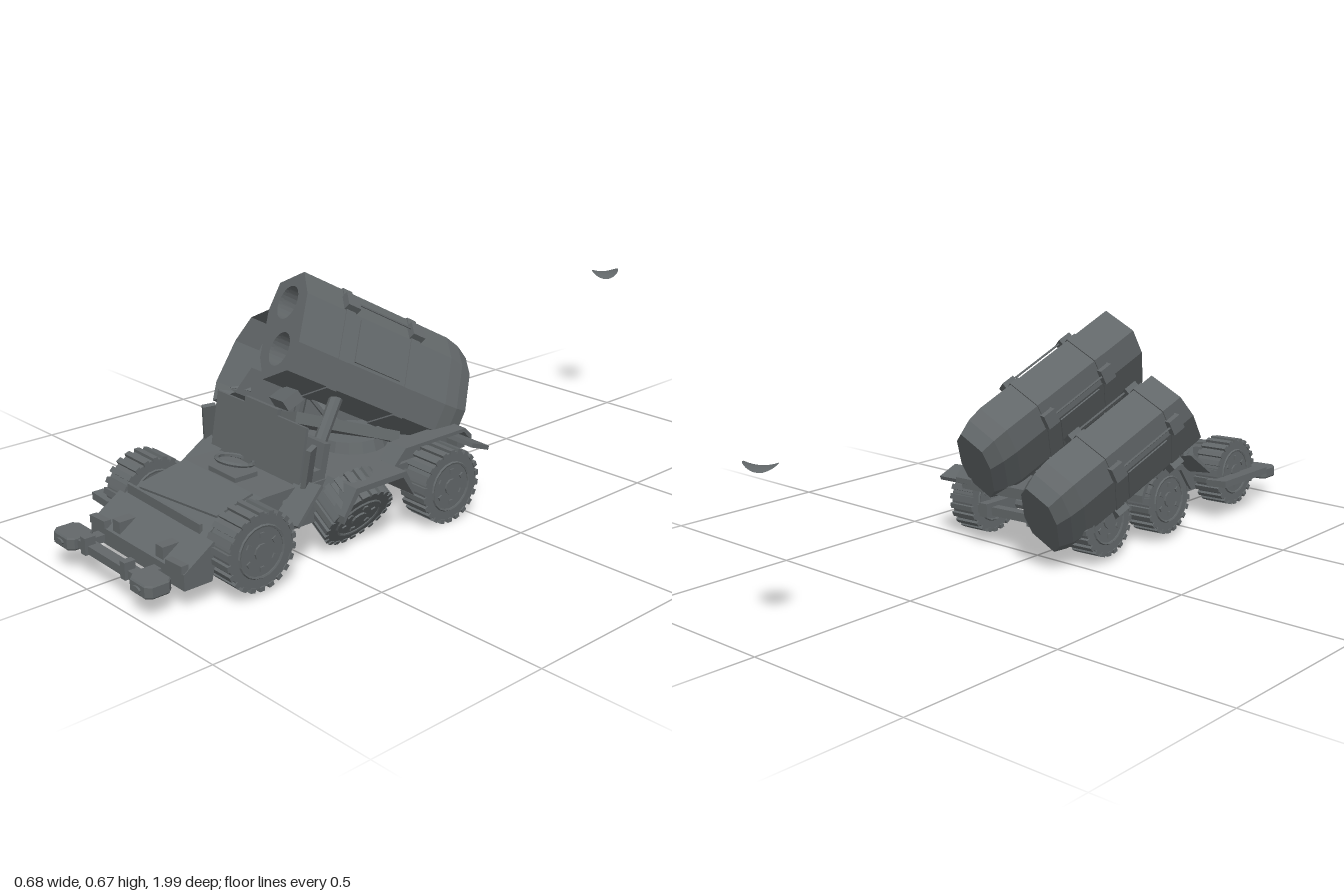
import * as THREE from 'three';

const V = (x, y, z) => new THREE.Vector3(x, y, z);

export function createModel() {
  const root = new THREE.Group();
  const steel = new THREE.MeshStandardMaterial({ color: 0x626769, flatShading: true, side: THREE.DoubleSide });
  steel.name = 'weathered grey';

  const add = (parent, name, geo, pos = [0, 0, 0], rot = [0, 0, 0]) => {
    const m = new THREE.Mesh(geo, steel);
    m.name = name;
    m.position.set(...pos);
    m.rotation.set(...rot);
    parent.add(m);
    return m;
  };
  const box = (p, name, size, pos, rot) => add(p, name, new THREE.BoxGeometry(...size), pos, rot);
  const group = (p, name, pos = [0, 0, 0], rot = [0, 0, 0]) => {
    const g = new THREE.Group();
    g.name = name;
    g.position.set(...pos);
    g.rotation.set(...rot);
    p.add(g);
    return g;
  };
  const rod = (p, name, a, b, r, sides = 8) => {
    const A = V(...a), B = V(...b), dir = B.clone().sub(A);
    const m = add(p, name, new THREE.CylinderGeometry(r, r, dir.length(), sides));
    m.position.copy(A).add(B).multiplyScalar(0.5);
    m.quaternion.setFromUnitVectors(V(0, 1, 0), dir.normalize());
  };
  // side profile of [z, y] points, extruded across x
  const sideProfile = (pts, w) => new THREE.ExtrudeGeometry(
    new THREE.Shape(pts.map(p => new THREE.Vector2(...p))), { depth: w, bevelEnabled: false })
    .rotateY(-Math.PI / 2).translate(w / 2, 0, 0);
  // skin through rings running from front to back
  const loft = (rings, capBack) => {
    const pos = [], n = rings[0].length;
    const tri = (...v) => v.forEach(p => pos.push(p.x, p.y, p.z));
    for (let k = 0; k < rings.length - 1; k++) for (let i = 0; i < n; i++) {
      const j = (i + 1) % n, f = rings[k], b = rings[k + 1];
      tri(f[i], b[i], b[j]);
      tri(f[i], b[j], f[j]);
    }
    const e = rings[rings.length - 1];
    if (capBack) for (let i = 1; i < n - 1; i++) tri(e[0], e[i + 1], e[i]);
    const g = new THREE.BufferGeometry();
    g.setAttribute('position', new THREE.Float32BufferAttribute(pos, 3));
    g.computeVertexNormals();
    return g;
  };

  // ---- chassis, leaning slightly to its left
  const truck = group(root, 'truck', [0.065, 0, 0], [0, 0, -0.035]);
  for (const s of [-1, 1]) box(truck, 'frameRail', [0.03, 0.04, 0.95], [s * 0.09, 0.115, 0.42]);
  for (const z of [-0.02, 0.16, 0.28, 0.46, 0.6]) box(truck, 'crossMember', [0.26, 0.025, 0.03], [0, 0.11, z]);
  for (const z of [0.08, 0.38, 0.72]) rod(truck, 'axle', [-0.19, 0.11, z], [0.19, 0.11, z], 0.016);
  rod(truck, 'driveShaft', [0, 0.1, 0.05], [0, 0.1, 0.72], 0.012);

  // ---- wheels
  const wheel = (name, pos, rot) => {
    const g = group(truck, name, pos, rot), w = 0.08;
    add(g, 'tyre', new THREE.CylinderGeometry(0.096, 0.096, w, 24).rotateZ(Math.PI / 2));
    for (let i = 0; i < 22; i++) {
      const a = i / 22 * Math.PI * 2;
      box(g, 'tread', [w + 0.006, 0.012, 0.015], [0, Math.cos(a) * 0.097, Math.sin(a) * 0.097], [a, 0, 0]);
    }
    for (const s of [-1, 1]) {
      add(g, 'rim', new THREE.TorusGeometry(0.066, 0.004, 5, 20).rotateY(Math.PI / 2), [s * w / 2, 0, 0]);
      add(g, 'hub', new THREE.CylinderGeometry(0.022, 0.022, 0.01, 10).rotateZ(Math.PI / 2), [s * w / 2, 0, 0]);
      for (let i = 0; i < 6; i++) {
        const a = i * Math.PI / 3;
        box(g, 'bolt', [0.008, 0.012, 0.012], [s * w / 2, Math.cos(a) * 0.044, Math.sin(a) * 0.044], [a, 0, 0]);
      }
    }
  };
  for (const s of [-1, 1]) {
    wheel('frontWheel', [s * 0.214, 0.124, 0.72]);
    wheel('rearWheel', [s * 0.216, 0.11, 0.085]);
  }
  wheel('rightMiddleWheel', [-0.215, 0.11, 0.37]);
  wheel('brokenMiddleWheel', [0.185, 0.117, 0.38], [0, 0, -0.57]);

  // ---- bed, fenders and tail
  box(truck, 'bed', [0.28, 0.025, 0.5], [0, 0.175, 0.22]);
  box(truck, 'tailBeam', [0.36, 0.03, 0.03], [0, 0.18, -0.03]);
  for (const s of [-1, 1]) {
    const rear = sideProfile([[-0.06, 0.185], [-0.03, 0.215], [0.18, 0.215], [0.24, 0.16], [0.24, 0.175],
      [0.19, 0.225], [-0.035, 0.225], [-0.06, 0.2]], 0.06);
    add(truck, 'rearFender', rear, [s * 0.16, 0, 0]);
    box(truck, 'rearFlap', [0.105, 0.012, 0.07], [s * 0.21, 0.198, -0.018], [-0.35, 0, 0]);
    const mid = sideProfile([[0.23, 0.13], [0.27, 0.19], [0.42, 0.19], [0.47, 0.12], [0.47, 0.14],
      [0.43, 0.205], [0.26, 0.205], [0.23, 0.15]], 0.11);
    add(truck, 'middleFender', mid, [s * 0.21, 0, 0]);
    rod(truck, 'sideBar', [s * 0.15, 0.09, 0.6], [s * 0.15, 0.14, 0.18], 0.01);
    box(truck, 'sideBin', [0.05, 0.06, 0.08], [s * 0.14, 0.13, 0.51]);
  }

  // ---- nose and open cab
  add(truck, 'hood', sideProfile([[0.58, 0.07], [0.84, 0.07], [0.84, 0.14], [0.78, 0.178], [0.64, 0.205], [0.52, 0.205], [0.52, 0.19], [0.58, 0.18]], 0.32));
  add(truck, 'apron', sideProfile([[0.82, 0.058], [0.9, 0.058], [0.9, 0.1], [0.8, 0.167], [0.8, 0.15]], 0.39));
  box(truck, 'cabFloor', [0.32, 0.015, 0.14], [0, 0.1, 0.53]);
  box(truck, 'bentPanel', [0.28, 0.006, 0.12], [0.01, 0.2, 0.73], [0.17, 0.1, 0.02]);
  box(truck, 'grilleBar', [0.3, 0.025, 0.008], [-0.01, 0.172, 0.81], [0, 0, -0.02]);
  box(truck, 'hatch', [0.11, 0.015, 0.07], [-0.01, 0.21, 0.6]);
  add(truck, 'steeringWheel', new THREE.TorusGeometry(0.048, 0.006, 5, 18), [-0.04, 0.222, 0.57], [1.35, 0, 0]);
  box(truck, 'windshieldPlate', [0.355, 0.155, 0.008], [-0.012, 0.277, 0.517], [-0.16, 0, 0]);
  box(truck, 'roofTab', [0.13, 0.022, 0.012], [-0.012, 0.358, 0.502], [-0.16, 0, 0]);
  for (const s of [-1, 1]) {
    box(truck, 'doorPost', [0.014, 0.11, 0.035], [s * 0.2 - 0.012, 0.262, 0.52], [0.1, s * 0.4, -0.22]);
    box(truck, 'seat', [0.1, 0.03, 0.08], [s * 0.085, 0.2, 0.46]);
    box(truck, 'seatBack', [0.1, 0.08, 0.02], [s * 0.085, 0.24, 0.42], [-0.2, 0, 0]);
    box(truck, 'mudGuard', [0.085, 0.01, 0.12], [s * 0.195, 0.18, 0.56], [0.7, s * 0.15, 0]);
    box(truck, 'headlamp', [0.065, 0.02, 0.02], [s * 0.16, 0.11, 0.895], [0, 0, 0.06]);
  }
  box(truck, 'runningBoard', [0.07, 0.02, 0.23], [-0.265, 0.11, 0.715], [0, 0, -0.05]);

  // ---- bumper with rounded end blocks
  const bumper = group(truck, 'bumper', [-0.03, 0.073, 0.952]);
  box(bumper, 'bumperBar', [0.25, 0.022, 0.03], [0, 0, 0]);
  for (const s of [-1, 1]) {
    const c = 0.012, x = 0.04, z = 0.034;
    const plan = [[-x + c, -z], [x - c, -z], [x, -z + c], [x, z - c], [x - c, z], [-x + c, z], [-x, z - c], [-x, -z + c]];
    const end = new THREE.ExtrudeGeometry(new THREE.Shape(plan.map(p => new THREE.Vector2(...p))),
      { depth: 0.026, bevelEnabled: true, bevelThickness: 0.004, bevelSize: 0.003, bevelSegments: 1 });
    add(bumper, 'bumperEnd', end.rotateX(Math.PI / 2), [s * 0.165, 0.013, 0]);
    add(bumper, 'lamp', new THREE.CylinderGeometry(0.012, 0.012, 0.008, 12).rotateX(Math.PI / 2).scale(1.3, 0.6, 1), [s * 0.165, 0, 0.038]);
    box(bumper, 'bracket', [0.02, 0.045, 0.03], [s * 0.085, 0.01, 0.008]);
    box(bumper, 'bumperArm', [0.03, 0.02, 0.08], [s * 0.12, 0, -0.05]);
  }

  // ---- launch canisters: local x across, y along the tall section, z to the muzzle
  const W = 0.088, H = 0.138, A = 0.055, B = 0.068;
  const outline = [[-A, H], [-W, B], [-W, -B], [-A, -H], [A, -H], [W, -B], [W, B], [A, H]];
  const ring = (z, s = 1, slant = 0) => outline.map(([x, y]) => V(x * s, y * s, z + slant * y));
  const canister = (name, pos, open) => {
    const g = group(root, name);
    const u = V(-0.364, 0.763, -0.534).normalize(), r = u.clone().cross(V(-0.229, 0.483, 0.847)).normalize();
    g.setRotationFromMatrix(new THREE.Matrix4().makeBasis(r, u, r.clone().cross(u)));
    g.position.set(...pos);
    // one canister has lost its muzzle plate and shows its hollow inside
    const front = open ? ring(-0.05, 1, -0.25) : ring(-0.03);
    add(g, 'shell', loft([front, ring(-0.49), ring(-0.535, 0.94), ring(-0.575, 0.8)], true));
    // bands with clamps and straight cables
    for (const z of [-0.14, -0.36]) {
      add(g, 'band', loft([ring(z + 0.015), ring(z + 0.015, 1.03), ring(z - 0.015, 1.03), ring(z - 0.015)], false));
      for (const s of [-1, 1]) for (const t of [-1, 1]) {
        box(g, 'clamp', [0.025, 0.045, 0.04], [s * 0.084, t * 0.095, z], [0, 0, s * t * 0.45]);
      }
    }
    for (const s of [-1, 1]) {
      box(g, 'sidePanel', [0.008, 0.12, 0.15], [s * W, 0, -0.25]);
      rod(g, 'cable', [s * 0.088, 0.1, -0.14], [s * 0.088, 0.1, -0.36], 0.003, 5);
    }
    if (open) {
      for (let i = 0; i < 4; i++) {
        add(g, 'shred', new THREE.ConeGeometry(0.014, 0.06, 3), [-0.04 + i * 0.03, -0.12, -0.05 + (i % 2) * 0.02], [1.2 + i * 0.2, i, 0.5 - i * 0.3]);
      }
    } else {
      const face = new THREE.Shape(outline.map(p => new THREE.Vector2(...p)));
      for (const s of [-1, 1]) {
        face.holes.push(new THREE.Path().absarc(0, s * 0.066, 0.046, 0, Math.PI * 2, true));
        add(g, 'launchTube', new THREE.CylinderGeometry(0.046, 0.046, 0.2, 24, 1, true).rotateX(Math.PI / 2), [0, s * 0.066, -0.11]);
        add(g, 'tubeBottom', new THREE.CircleGeometry(0.046, 24), [0, s * 0.066, -0.2]);
      }
      add(g, 'muzzlePlate', new THREE.ExtrudeGeometry(face, { depth: 0.035, bevelEnabled: false, curveSegments: 16 }), [0, 0, -0.035]);
    }
  };
  canister('leftCanister', [0.004, 0.534, 0.378], false);
  canister('rightCanister', [-0.236, 0.423, 0.378], true);

  // ---- launcher mount
  const mount = group(root, 'launcherMount');
  add(mount, 'turntable', new THREE.CylinderGeometry(0.09, 0.1, 0.03, 16), [0.06, 0.2, 0.2]);
  box(mount, 'cradle', [0.13, 0.03, 0.32], [0.07, 0.245, 0.26], [-0.35, -0.25, 0.2]);
  rod(mount, 'liftStrut', [0.13, 0.19, 0.4], [0.1, 0.35, 0.28], 0.018);
  rod(mount, 'liftStrut', [0.0, 0.19, 0.36], [0.03, 0.38, 0.33], 0.014);
  rod(mount, 'brace', [0.03, 0.2, 0.2], [-0.09, 0.3, 0.22], 0.014);
  box(mount, 'muzzleBracket', [0.1, 0.03, 0.05], [0.06, 0.36, 0.42], [0.5, -0.2, 0.3]);
  for (let i = 0; i < 3; i++) {
    box(mount, 'scrap', [0.07, 0.008, 0.1], [-0.12 - (i % 2) * 0.04, 0.2 + i * 0.03, 0.41 - i * 0.01], [0.5 - i * 0.4, i * 0.7, 0.4 - i * 0.25]);
  }

  // ---- loose round plate thrown clear behind, bent into a saddle
  const plate = new THREE.RingGeometry(0.0005, 0.042, 24, 5).rotateX(-Math.PI / 2);
  const pp = plate.attributes.position;
  for (let i = 0; i < pp.count; i++) pp.setY(i, -10 * pp.getX(i) * pp.getZ(i));
  add(root, 'loosePlate', plate, [0, 0.449, -0.957], [0.1, 0, 0]);
  return root;
}
